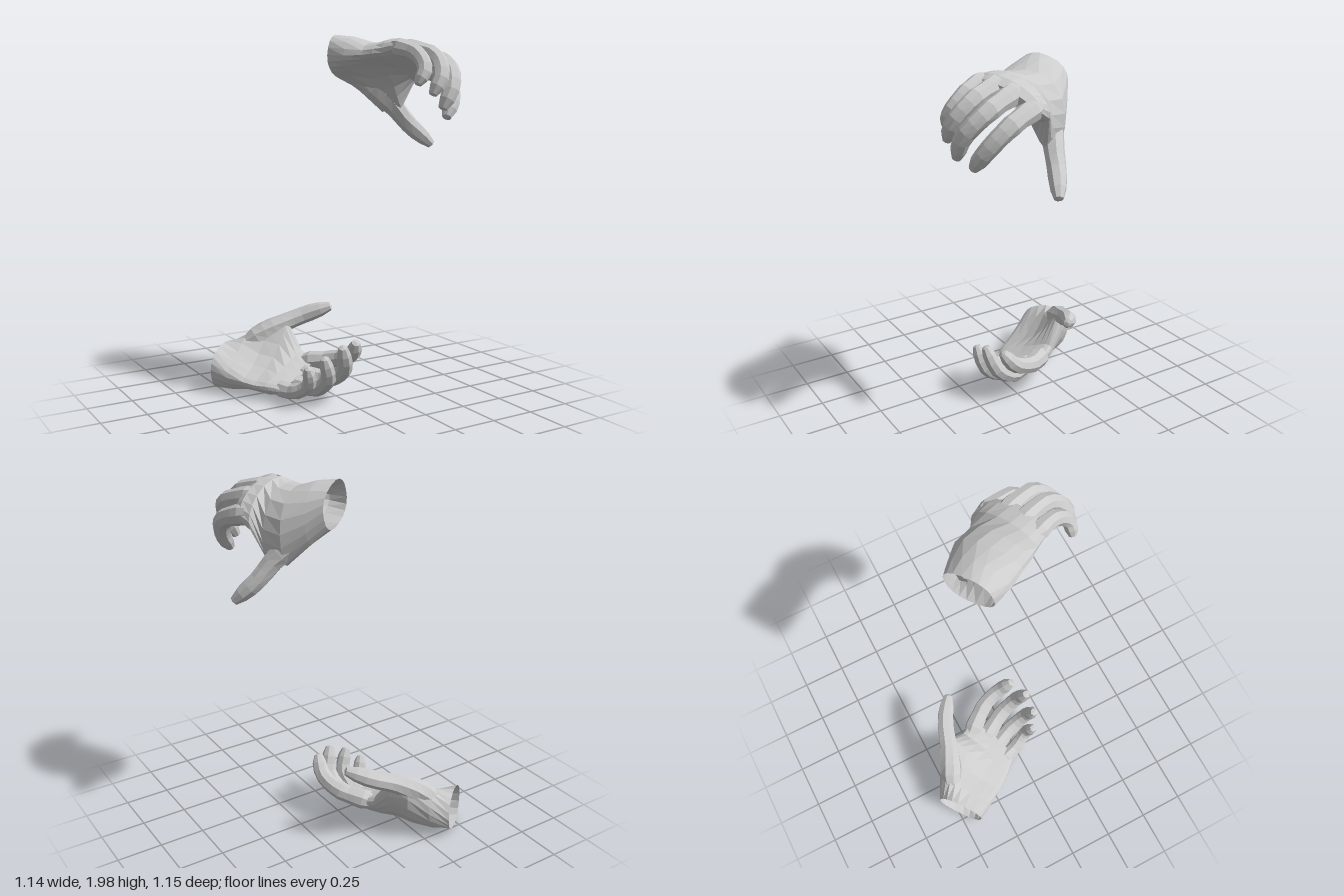
import * as THREE from 'three';

const V = (a) => new THREE.Vector3(...a);
const material = new THREE.MeshStandardMaterial({ color: 0xcccccc, flatShading: true, side: THREE.DoubleSide });

// Skin a list of equal-length rings, closing the far end with a fan
function loft(name, rings, endPoint) {
  const n = rings[0].length, pos = [], index = [];
  rings.forEach((ring) => ring.forEach((p) => pos.push(p.x, p.y, p.z)));
  pos.push(endPoint.x, endPoint.y, endPoint.z);
  const last = rings.length - 1;
  for (let i = 0; i < last; i++) {
    for (let j = 0; j < n; j++) {
      const a = i * n + j, b = i * n + ((j + 1) % n);
      index.push(a, b, b + n, a, b + n, a + n);
    }
  }
  for (let j = 0; j < n; j++) index.push(last * n + j, last * n + ((j + 1) % n), rings.length * n);
  const indexed = new THREE.BufferGeometry();
  indexed.setAttribute('position', new THREE.Float32BufferAttribute(pos, 3));
  indexed.setIndex(index);
  const geo = indexed.toNonIndexed();
  geo.computeVertexNormals();
  const mesh = new THREE.Mesh(geo, material);
  mesh.name = name;
  return mesh;
}

// Tapered digit along a curve; radii are spread evenly over its length
function digit(name, points, radii, across, steps = 10, sides = 8) {
  const curve = new THREE.CatmullRomCurve3(points.map(V), false, 'centripetal');
  const rings = [];
  for (let i = 0; i <= steps; i++) {
    const t = i / steps, s = t * (radii.length - 1);
    const k = Math.min(Math.floor(s), radii.length - 2);
    const r = THREE.MathUtils.lerp(radii[k], radii[k + 1], s - k);
    const c = curve.getPointAt(t), d = curve.getTangentAt(t);
    const n1 = across.clone().addScaledVector(d, -across.dot(d)).normalize();
    const n2 = d.clone().cross(n1);
    rings.push(Array.from({ length: sides }, (_, j) => {
      const a = ((j + 0.5) / sides) * Math.PI * 2;
      return c.clone().addScaledVector(n1, r * Math.cos(a)).addScaledVector(n2, r * Math.sin(a));
    }));
  }
  const end = curve.getPointAt(1).addScaledVector(curve.getTangentAt(1), 0.008);
  return loft(name, rings, end);
}

// Palm through sections of [little-finger edge, thumb edge, half thickness, arch, bow];
// arch cups a section towards the back of the hand, and the wrist end stays open
function palm(sections, side, sides = 20) {
  const mids = sections.map(([p, t]) => V(p).add(V(t)).multiplyScalar(0.5));
  const forward = mids[mids.length - 1].clone().sub(mids[0]).normalize();
  const rings = sections.map(([p, t, h, arch, bow], i) => {
    const half = V(t).sub(V(p)).multiplyScalar(0.5);
    const n2 = forward.clone().cross(half).normalize();
    return Array.from({ length: sides }, (_, j) => {
      const a = (j / sides) * Math.PI * 2;
      const soft = (v) => Math.sign(v) * Math.pow(Math.abs(v), 0.85);
      const u = soft(Math.cos(a)), fall = 1 - u * u;
      return mids[i].clone().addScaledVector(half, u)
        .addScaledVector(n2, h * soft(Math.sin(a)) - side * arch * fall)
        .addScaledVector(forward, bow * fall);
    });
  });
  return loft('palm', rings, mids[mids.length - 1].clone().addScaledVector(forward, 0.03));
}

function hand(name, spec) {
  const group = new THREE.Group();
  group.name = name;
  const knuckles = spec.palm[spec.palm.length - 1];
  const across = V(knuckles[1]).sub(V(knuckles[0])).normalize();
  group.add(palm(spec.palm, spec.side));
  // Fingers swell a little at the joints and round off at the tip
  const profile = [0.9, 1.18, 1.12, 1.02, 1.06, 0.98, 0.96, 0.94, 0.9, 0.84, 0.5];
  const sizes = { indexFinger: 0.048, middleFinger: 0.047, ringFinger: 0.045, littleFinger: 0.041 };
  for (const [finger, r] of Object.entries(sizes)) {
    group.add(digit(finger, spec[finger], profile.map((k) => k * r), across));
  }
  // The thumb grows out of the edge of the palm
  group.add(digit('thumb', spec.thumb, [0.02, 0.055, 0.065, 0.064, 0.06, 0.053, 0.05, 0.049, 0.048, 0.041, 0.024], across));
  return group;
}

export function createModel() {
  const model = new THREE.Group();
  model.name = 'pairOfHands';

  // Upper hand, palm down with curled fingers
  model.add(hand('upperHand', {
    side: -1,
    palm: [
      [[-0.03, 1.92, -0.03], [0.19, 1.83, -0.17], 0.11, 0, 0],
      [[0.01, 1.91, 0.07], [0.25, 1.72, -0.115], 0.108, 0.055, 0],
      [[0.06, 1.90, 0.16], [0.33, 1.59, -0.03], 0.092, 0.11, 0],
      [[0.085, 1.905, 0.22], [0.385, 1.615, 0.07], 0.08, 0.1, 0],
      [[0.11, 1.91, 0.27], [0.45, 1.765, 0.105], 0.072, 0.04, 0.01],
      [[0.135, 1.92, 0.32], [0.475, 1.80, 0.16], 0.055, 0.03, 0.02],
      [[0.165, 1.915, 0.35], [0.475, 1.805, 0.20], 0.034, 0.025, 0.03],
    ],
    indexFinger: [[0.42, 1.825, 0.15], [0.473, 1.76, 0.335], [0.437, 1.655, 0.435], [0.375, 1.56, 0.475]],
    middleFinger: [[0.345, 1.89, 0.21], [0.415, 1.825, 0.42], [0.37, 1.715, 0.52], [0.31, 1.605, 0.525]],
    ringFinger: [[0.255, 1.915, 0.25], [0.32, 1.865, 0.44], [0.295, 1.77, 0.53], [0.24, 1.675, 0.535]],
    littleFinger: [[0.17, 1.92, 0.29], [0.22, 1.88, 0.42], [0.215, 1.80, 0.50], [0.17, 1.725, 0.505]],
    thumb: [[0.19, 1.79, -0.06], [0.27, 1.70, -0.02], [0.36, 1.61, 0.02], [0.44, 1.51, 0.053], [0.55, 1.40, 0.113]],
  }));

  // Lower hand, palm up with an open, cupped grip
  model.add(hand('lowerHand', {
    side: 1,
    palm: [
      [[-0.57, 0.10, -0.41], [-0.36, 0.18, -0.57], 0.12, 0, 0],
      [[-0.51, 0.08, -0.32], [-0.27, 0.27, -0.51], 0.108, 0.05, 0],
      [[-0.455, 0.08, -0.23], [-0.17, 0.37, -0.44], 0.085, 0.1, 0],
      [[-0.42, 0.075, -0.17], [-0.10, 0.36, -0.36], 0.07, 0.09, 0],
      [[-0.385, 0.075, -0.12], [-0.06, 0.205, -0.275], 0.062, 0.035, 0.01],
      [[-0.35, 0.075, -0.08], [-0.03, 0.18, -0.22], 0.05, 0.025, 0.02],
      [[-0.325, 0.075, -0.05], [-0.02, 0.18, -0.19], 0.034, 0.02, 0.03],
    ],
    indexFinger: [[-0.08, 0.165, -0.22], [0.04, 0.205, -0.06], [0.067, 0.255, 0.06], [0.05, 0.34, 0.13]],
    middleFinger: [[-0.145, 0.115, -0.17], [-0.04, 0.125, 0.01], [-0.02, 0.205, 0.125], [-0.06, 0.34, 0.175]],
    ringFinger: [[-0.215, 0.085, -0.14], [-0.14, 0.09, 0.03], [-0.13, 0.17, 0.14], [-0.17, 0.295, 0.17]],
    littleFinger: [[-0.30, 0.075, -0.12], [-0.255, 0.085, 0.01], [-0.22, 0.14, 0.09], [-0.245, 0.24, 0.125]],
    thumb: [[-0.35, 0.21, -0.48], [-0.25, 0.29, -0.44], [-0.14, 0.35, -0.395], [0, 0.405, -0.345], [0.12, 0.455, -0.262]],
  }));

  return model;
}
